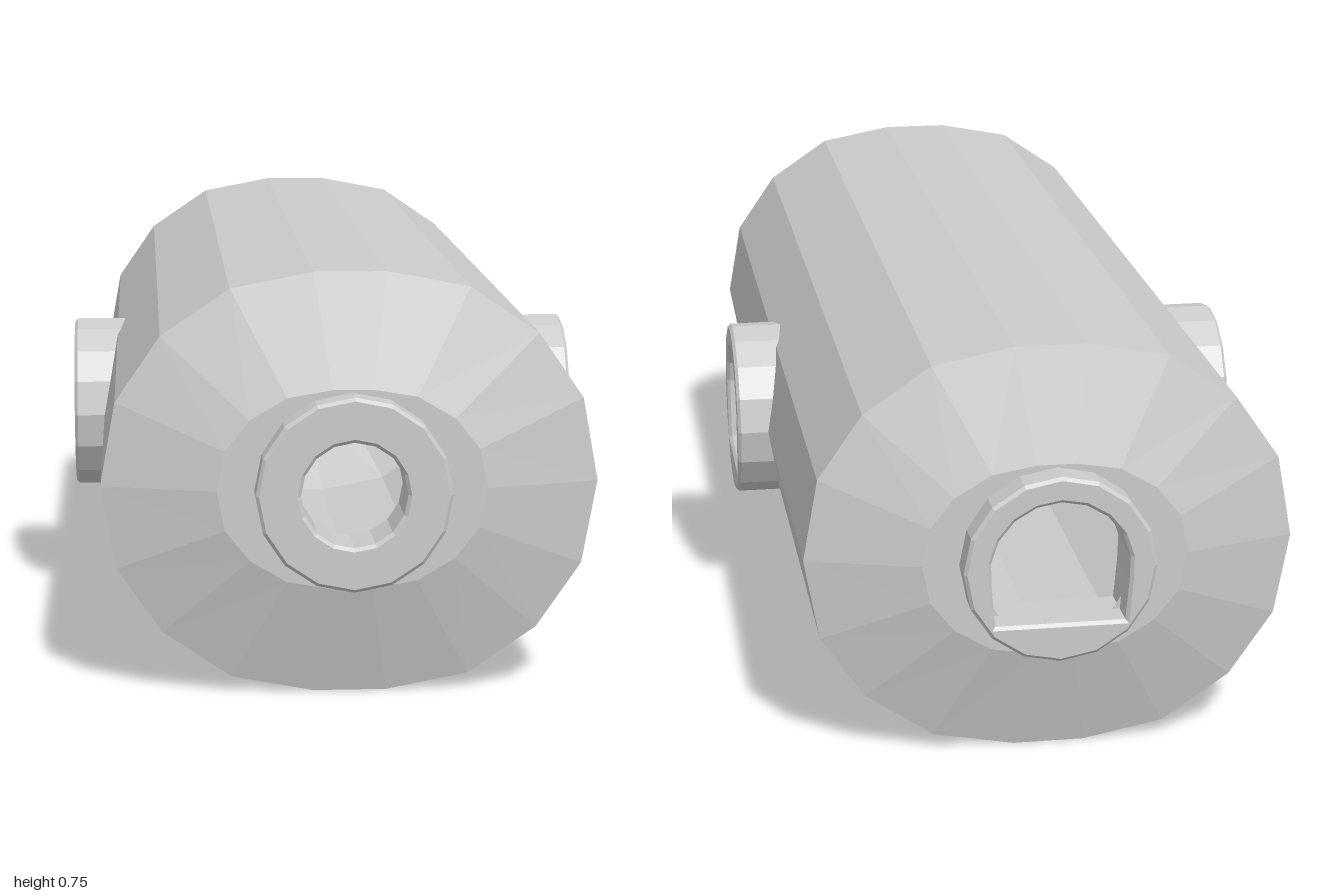
import * as THREE from 'three';

const CY = 0.376;           // height of both axes
const BODY_Z = 0.885;       // where the straight shell ends
const CAP_Z = 0.945;        // flat end of the cap
const PORT_R = 0.172;
const OPENING_R = 0.143;    // openings cut in the shell behind each port

const material = new THREE.MeshStandardMaterial({
  color: 0xcccccc, flatShading: true, side: THREE.DoubleSide,
});

function add(group, geometry, name) {
  const mesh = new THREE.Mesh(geometry, material);
  mesh.name = name;
  group.add(mesh);
  return mesh;
}

// points on an arc, in degrees
function arc(r, from, to, steps) {
  return Array.from({ length: steps + 1 }, (_, i) => {
    const a = THREE.MathUtils.degToRad(from + (to - from) * i / steps);
    return new THREE.Vector2(r * Math.cos(a), r * Math.sin(a));
  });
}
const circle = (r, n) => arc(r, 0, 360, n).slice(0, n);

function quads(list) {
  const pos = [];
  for (const [a, b, c, d] of list) for (const p of [a, b, c, a, c, d]) pos.push(...p);
  const g = new THREE.BufferGeometry();
  g.setAttribute('position', new THREE.Float32BufferAttribute(pos, 3));
  g.computeVertexNormals();
  return g;
}

// 18-sided oval outline, mirrored from one quadrant
function ovalOutline() {
  const q = [[0.44, 0], [0.413, 0.149], [0.333, 0.265], [0.211, 0.348], [0.065, 0.376]];
  const upper = [...q, ...q.slice().reverse().map(([x, y]) => [-x, y])];
  const lower = upper.slice(1, -1).reverse().map(([x, y]) => [x, -y]);
  return [...upper, ...lower];
}

// half of a side facet pair, with a half-round opening at its middle edge
function sidePanel(sx, sy) {
  const shape = new THREE.Shape([
    new THREE.Vector2(-BODY_Z, 0),
    ...arc(OPENING_R, 180, 0, 12),
    new THREE.Vector2(BODY_Z, 0),
    new THREE.Vector2(BODY_Z, 0.149),
    new THREE.Vector2(-BODY_Z, 0.149),
  ]);
  const g = new THREE.ShapeGeometry(shape);
  const p = g.attributes.position;
  for (let i = 0; i < p.count; i++) {
    const u = p.getX(i), v = p.getY(i);
    p.setXYZ(i, sx * (0.44 - 0.027 * v / 0.149), CY + sy * v, -sx * sy * u);
  }
  g.computeVertexNormals();
  return g;
}

// ring-shaped port, its face at local z = reach
function port(hole, reach) {
  const shape = new THREE.Shape(circle(PORT_R, 16));
  shape.holes.push(new THREE.Path(hole));
  const bevel = 0.006, length = 0.12;
  const g = new THREE.ExtrudeGeometry(shape, {
    depth: length - 2 * bevel, bevelEnabled: true, bevelSegments: 1,
    bevelThickness: bevel, bevelSize: bevel, bevelOffset: -bevel,
  });
  g.translate(0, 0, reach - length + bevel);
  return g;
}

export function createModel() {
  const model = new THREE.Group();
  model.name = 'crossPortDrum';

  // hollow drum shell
  const outer = ovalOutline();
  const n = outer.length;
  const at = (i, z, kx = 1, ky = 1) => [outer[i % n][0] * kx, CY + outer[i % n][1] * ky, z];
  const strips = [];
  for (let i = 0; i < n; i++) {
    if ([0, 8, 9, 17].includes(i)) continue; // these facets carry the side openings
    strips.push([at(i, -BODY_Z), at(i + 1, -BODY_Z), at(i + 1, BODY_Z), at(i, BODY_Z)]);
  }
  add(model, quads(strips), 'drumShell');
  for (const sx of [1, -1]) for (const sy of [1, -1]) add(model, sidePanel(sx, sy), 'sidePanel');

  // tapered caps with a flat, pierced end
  const kx = 0.54, ky = 0.47;
  for (const s of [1, -1]) {
    const cone = [];
    for (let i = 0; i < n; i++) {
      const q = [at(i, s * BODY_Z), at(i + 1, s * BODY_Z),
        at(i + 1, s * CAP_Z, kx, ky), at(i, s * CAP_Z, kx, ky)];
      cone.push(s > 0 ? q : q.reverse());
    }
    add(model, quads(cone), s > 0 ? 'frontTaper' : 'backTaper');

    const flat = new THREE.Shape(outer.map(([x, y]) => new THREE.Vector2(x * kx, y * ky)));
    flat.holes.push(new THREE.Path(circle(OPENING_R, 16)));
    const end = add(model, new THREE.ShapeGeometry(flat), s > 0 ? 'frontEnd' : 'backEnd');
    end.position.set(0, CY, s * CAP_Z);
    if (s < 0) end.rotation.y = Math.PI;
  }

  // four ports: round bores front and right, flat-bottomed bores back and left
  const round = circle(0.093, 16);
  const flatBottomed = [...arc(0.125, -12, 192, 10),
    new THREE.Vector2(-0.116, -0.1), new THREE.Vector2(0.116, -0.1)];
  const ports = [
    ['frontPort', round, 1, 0],
    ['leftPort', flatBottomed, 0.5, Math.PI / 2],
    ['backPort', flatBottomed, 1, Math.PI],
    ['rightPort', round, 0.5, -Math.PI / 2],
  ];
  for (const [name, hole, reach, turn] of ports) {
    const mesh = add(model, port(hole, reach), name);
    mesh.position.y = CY;
    mesh.rotation.y = turn;
  }
  return model;
}
